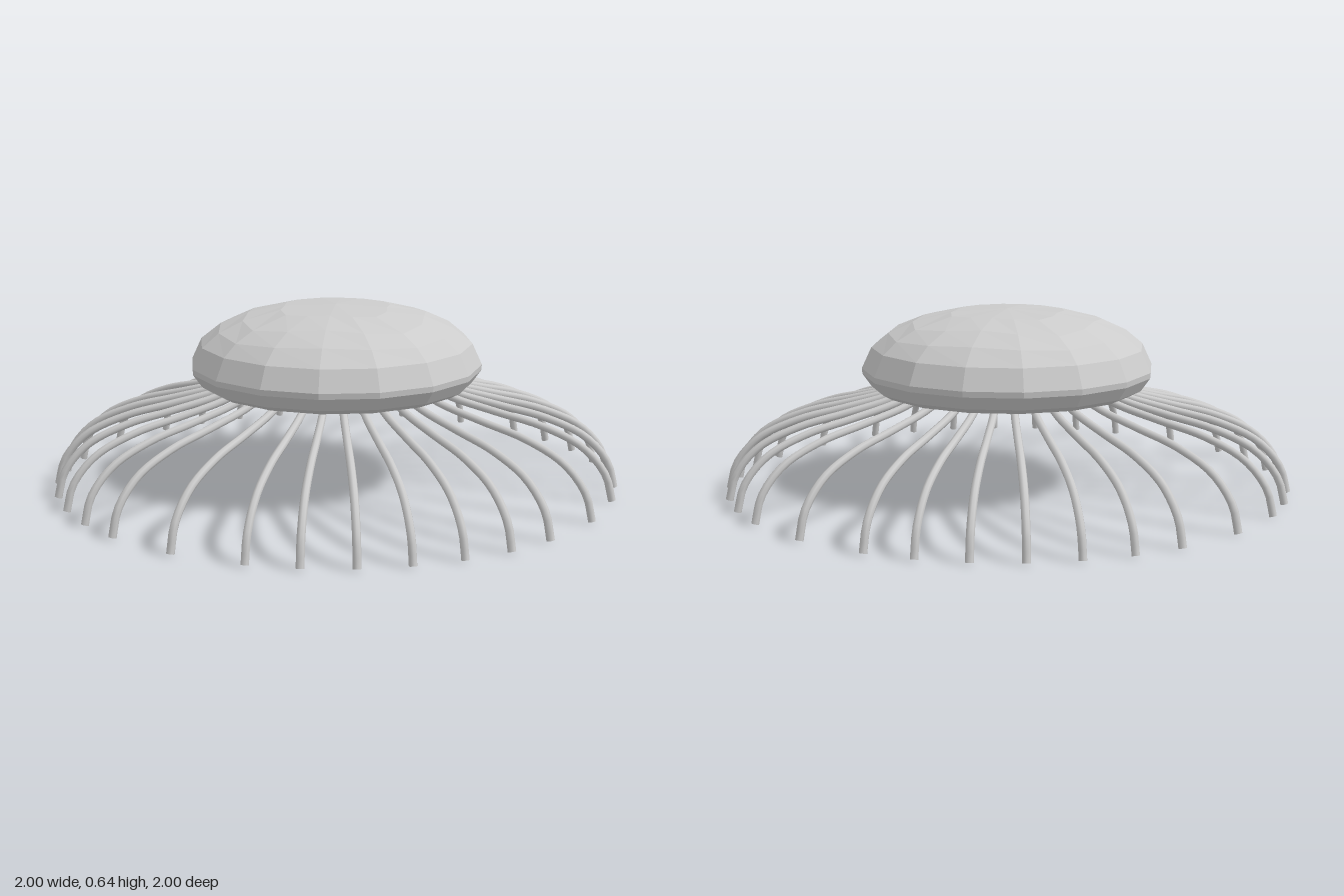
import * as THREE from 'three';

const material = new THREE.MeshStandardMaterial({ color: 0xcccccc });
const facetMaterial = new THREE.MeshStandardMaterial({ color: 0xcccccc, flatShading: true });

// Height of the dome above the rim for a given radius
const domeY = (r) => 0.42 + 0.215 * Math.sqrt(Math.max(0, 1 - Math.pow(r / 0.514, 2.4)));

// Faceted bell: rings run from the crown, over the rim, across the underside and into the hollow
function createBell() {
  const sides = 16;
  // r: radius, y: height (dome curve when missing), square: corner bulge, wave: scalloping
  const rings = [
    { r: 0 },
    { r: 0.18, square: 0.22 },
    { r: 0.31, square: 0.16 },
    { r: 0.41, square: 0.05 },
    { r: 0.48 },
    { r: 0.514, y: 0.43 },
    { r: 0.512, y: 0.41 },
    { r: 0.48, y: 0.365 },
    { r: 0.445, y: 0.346 },
    { r: 0.23, y: 0.346, wave: 0.06 },
    { r: 0.19, y: 0.42 },
    { r: 0.11, y: 0.47 },
    { r: 0, y: 0.485 },
  ];
  const positions = [];
  const index = [];
  rings.forEach(({ r, y, square = 0, wave = 0 }, i) => {
    for (let j = 0; j < sides; j++) {
      const a = (j / sides) * Math.PI * 2;
      const radius = r * (1 + square * Math.sin(2 * a) ** 2 + wave * Math.cos(8 * a));
      positions.push(radius * Math.sin(a), y ?? domeY(radius), radius * Math.cos(a));
      if (i === rings.length - 1) continue;
      const k = (j + 1) % sides;
      const p = i * sides + j, q = i * sides + k;
      if (i < rings.length - 2) index.push(p, p + sides, q + sides);
      if (i > 0) index.push(p, q + sides, q);
    }
  });
  const geometry = new THREE.BufferGeometry();
  geometry.setAttribute('position', new THREE.Float32BufferAttribute(positions, 3));
  geometry.setIndex(index);
  const flat = geometry.toNonIndexed();
  flat.computeVertexNormals();
  const bell = new THREE.Mesh(flat, facetMaterial);
  bell.name = 'bell';
  return bell;
}

// One arm sweeping outward along +z, then curling down to the ground
function createTentacleGeometry() {
  const path = [
    [0.33, 0.365], [0.42, 0.327], [0.58, 0.285], [0.74, 0.245],
    [0.88, 0.18], [0.96, 0.09], [0.985, 0],
  ].map(([r, y]) => new THREE.Vector3(0, y, r));
  return new THREE.TubeGeometry(new THREE.CatmullRomCurve3(path), 24, 0.0135, 8, false);
}

export function createModel() {
  const model = new THREE.Group();
  model.name = 'jellyfish';
  model.add(createBell());

  // Tentacles: the same uneven spacing repeated in each quarter
  const tentacles = new THREE.Group();
  tentacles.name = 'tentacles';
  const armGeometry = createTentacleGeometry();
  const tipGeometry = new THREE.CircleGeometry(0.0135, 8).rotateX(Math.PI / 2).translate(0, 0.001, 0.985);
  for (let quarter = 0; quarter < 4; quarter++) {
    for (const degrees of [0, 10, 25, 40, 50, 60, 70, 80]) {
      const tentacle = new THREE.Group();
      tentacle.name = 'tentacle';
      const arm = new THREE.Mesh(armGeometry, material);
      arm.name = 'tentacleArm';
      const tip = new THREE.Mesh(tipGeometry, material);
      tip.name = 'tentacleTip';
      tentacle.add(arm, tip);
      // Spacing is counted clockwise from the back, seen from above
      tentacle.rotation.y = Math.PI - THREE.MathUtils.degToRad(degrees + quarter * 90);
      tentacles.add(tentacle);
    }
  }
  model.add(tentacles);
  return model;
}
